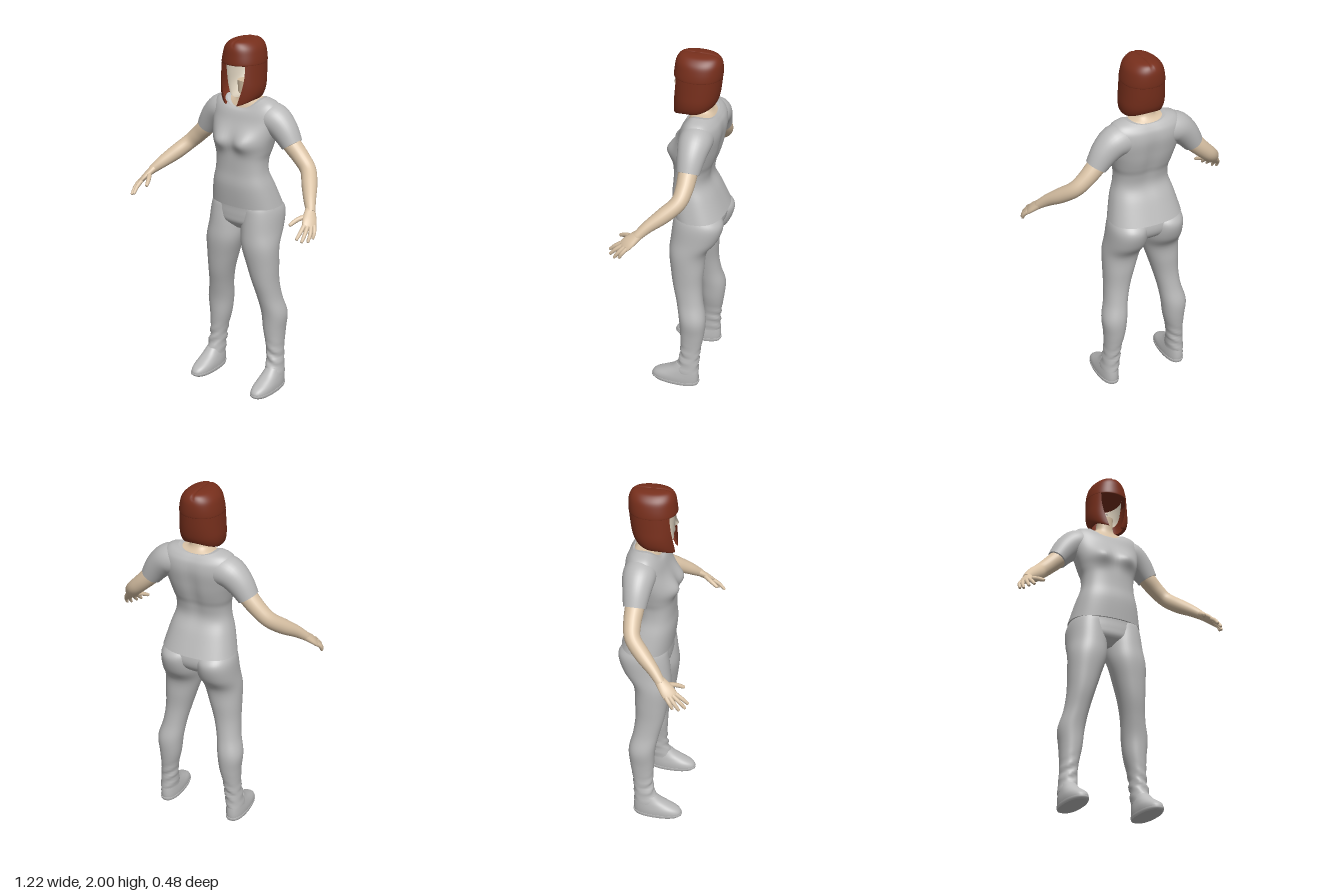
import * as THREE from 'three';

const material = (name, color, side = THREE.FrontSide) => {
  const m = new THREE.MeshStandardMaterial({ color, side });
  m.name = name;
  return m;
};

// Catmull-Rom resampling of every column of a row table
function refine(rows, steps) {
  const out = [], n = rows.length;
  for (let i = 0; i < n - 1; i++) {
    const [a, b, c, d] = [rows[Math.max(i - 1, 0)], rows[i], rows[i + 1], rows[Math.min(i + 2, n - 1)]];
    for (let s = 0; s < steps; s++) {
      const t = s / steps;
      out.push(b.map((_, k) => b[k] + 0.5 * t * (c[k] - a[k] +
        t * (2 * a[k] - 5 * b[k] + 4 * c[k] - d[k] + t * (3 * (b[k] - c[k]) + d[k] - a[k])))));
    }
  }
  out.push(rows[n - 1]);
  return out;
}

// Skin a list of rings, closing them around and capping both ends if asked
function skin(rings, closed = true, caps = true) {
  const pos = [], idx = [], n = rings[0].length;
  rings.forEach(r => r.forEach(p => pos.push(p.x, p.y, p.z)));
  for (let i = 0; i < rings.length - 1; i++)
    for (let j = 0; j < (closed ? n : n - 1); j++) {
      const k = (j + 1) % n, a = i * n, b = a + n;
      idx.push(a + j, a + k, b + j, a + k, b + k, b + j);
    }
  if (caps) [rings[0], rings[rings.length - 1]].forEach((r, end) => {
    const base = pos.length / 3, c = new THREE.Vector3();
    r.forEach(p => { pos.push(p.x, p.y, p.z); c.addScaledVector(p, 1 / n); });
    pos.push(c.x, c.y, c.z);
    for (let j = 0; j < n; j++) {
      const k = (j + 1) % n;
      idx.push(base + n, base + (end ? j : k), base + (end ? k : j));
    }
  });
  const g = new THREE.BufferGeometry();
  g.setAttribute('position', new THREE.Float32BufferAttribute(pos, 3));
  g.setIndex(idx);
  g.computeVertexNormals();
  return g;
}

// Upright form; rows run downwards: [y, centre x, half width, z front, z back, front dip, back dip, front gap]
function loft(table, { seg = 48, steps = 5, e = 1, open = false, caps = true, warp } = {}) {
  const full = table.map(r => [...r, 0, 0, 0].slice(0, 8));
  const rings = refine(full, steps).map(([y, cx, rx, zf, zb, df, db, gap]) => {
    const ring = [], cz = (zf + zb) / 2, rz = (zf - zb) / 2;
    const g = open ? Math.asin(Math.min(1, Math.max(0, gap / rx) ** (1 / e))) : 0;
    for (let j = 0; j < (open ? seg + 1 : seg); j++) {
      const a = Math.PI / 2 + g + (2 * Math.PI - 2 * g) * j / seg, c = Math.cos(a), s = Math.sin(a);
      const p = new THREE.Vector3(cx + rx * Math.sign(c) * Math.abs(c) ** e,
        y - (s > 0 ? df : db) * s * s, cz + rz * Math.sign(s) * Math.abs(s) ** e);
      if (warp) warp(p);
      ring.push(p);
    }
    return ring;
  });
  return skin(rings, !open, caps && !open);
}

// Limb along a path: [x, y, z, radius along "wide", radius across]
function limb(table, wide, seg = 24, steps = 5) {
  const rows = refine(table, steps);
  const at = i => new THREE.Vector3(...rows[Math.min(Math.max(i, 0), rows.length - 1)].slice(0, 3));
  return skin(rows.map((r, i) => {
    const t = at(i + 1).sub(at(i - 1)).normalize();
    const u = wide.clone().addScaledVector(t, -wide.dot(t)).normalize();
    const v = t.clone().cross(u), ring = [];
    for (let j = 0; j < seg; j++) {
      const a = 2 * Math.PI * j / seg;
      ring.push(at(i).addScaledVector(u, r[3] * Math.cos(a)).addScaledVector(v, r[4] * Math.sin(a)));
    }
    return ring;
  }));
}

function mirrored(geometry) {
  const g = geometry.clone().scale(-1, 1, 1), ix = g.index.array;
  for (let i = 0; i < ix.length; i += 3) [ix[i], ix[i + 1]] = [ix[i + 1], ix[i]];
  g.computeVertexNormals();
  return g;
}

const bell = (d, w) => Math.exp(-(d / w) * (d / w));

export function createModel() {
  const model = new THREE.Group();
  const cloth = material('grey cloth', 0xb9b9b9);
  const skinTone = material('skin', 0xd9c2a5);
  const faceTone = material('pale face', 0xd6cbb8);
  const hairTone = material('auburn hair', 0x772f1c, THREE.DoubleSide);
  const white = material('eye white', 0xe4e0da);
  const dark = material('dark brown', 0x3a1a14);
  const lipTone = material('lips', 0xb58a7c);
  const add = (name, g, m) => {
    const mesh = new THREE.Mesh(g, m);
    mesh.name = name;
    model.add(mesh);
    return mesh;
  };
  const pair = (name, g, m) => { add('left ' + name, g, m); add('right ' + name, mirrored(g), m); };

  // Shirt with bust
  add('shirt', loft([
    [1.685, 0, .115, -.01, -.165, .06, .02], [1.668, 0, .17, 0, -.18, .05, .02],
    [1.63, 0, .2, .01, -.195, .03, .01], [1.57, 0, .203, .025, -.2, .01, 0],
    [1.5, 0, .19, .05, -.19], [1.45, 0, .177, .062, -.18], [1.4, 0, .164, .058, -.165],
    [1.35, 0, .152, .058, -.148], [1.28, 0, .155, .058, -.142], [1.2, 0, .178, .063, -.18],
    [1.085, 0, .205, .05, -.23]], {
    seg: 72, e: .82, warp: p => {
      if (p.z > -.06) p.z += .032 * bell(Math.abs(p.x) - .075, .055) * bell(p.y - 1.458, .055);
      else p.z += .012 * bell(p.x, .035) * bell(p.y - 1.45, .15); // spine hollow
    }
  }), cloth);
  pair('sleeve', limb([[.11, 1.582, -.1, .085, .085], [.175, 1.575, -.1, .087, .084],
    [.235, 1.525, -.1, .074, .074], [.285, 1.455, -.1, .06, .058]], new THREE.Vector3(0, 0, 1), 36), cloth);

  // Trousers
  add('trouser seat', loft([
    [1.15, 0, .185, .05, -.185], [1.085, 0, .198, .042, -.212], [1.03, 0, .206, .042, -.215],
    [.985, 0, .17, .035, -.19], [.94, 0, .05, -.01, -.13]], { e: .85 }), cloth);
  pair('trouser leg', loft([
    [1.13, .1, .07, 0, -.16], [1.09, .1, .095, .03, -.207], [1.04, .106, .104, .04, -.236],
    [.95, .109, .108, .05, -.21], [.86, .12, .105, .056, -.15], [.75, .137, .088, .043, -.14],
    [.65, .152, .073, .027, -.136], [.55, .169, .066, .002, -.147], [.45, .188, .071, -.018, -.169],
    [.35, .19, .061, -.025, -.163], [.25, .199, .048, -.03, -.147], [.17, .206, .047, -.026, -.138],
    [.085, .213, .05, .005, -.138]], {
    e: .93, warp: p => { // gathered cloth over the ankle
      const k = .006 * bell(p.y - .17, .08) * Math.sin(p.y * 110 + p.x * 60);
      p.z += k; p.x += k * .5;
    }
  }), cloth);

  // Shoes
  pair('shoe', loft([
    [.13, .213, .038, -.01, -.125], [.1, .213, .046, .025, -.134], [.075, .213, .051, .07, -.138],
    [.05, .213, .055, .118, -.14], [.03, .213, .056, .137, -.14], [.012, .213, .055, .138, -.138]],
  { e: .85 }), cloth);
  pair('sole', loft([[.02, .213, .058, .142, -.143], [.01, .213, .058, .142, -.143],
    [0, .213, .055, .13, -.138]], { e: .85, steps: 2 }), cloth);

  // Arms and hands
  pair('arm', limb([[.24, 1.505, -.1, .046, .046], [.285, 1.455, -.1, .05, .05],
    [.345, 1.395, -.1, .046, .046], [.4, 1.342, -.085, .042, .043], [.45, 1.287, -.025, .041, .042],
    [.497, 1.237, .04, .032, .034], [.53, 1.2, .08, .026, .025], [.538, 1.19, .09, .026, .022]],
  new THREE.Vector3(0, 0, 1)), skinTone);
  const across = new THREE.Vector3(-.04, .01, .06);
  pair('palm', limb([[.525, 1.207, .073, .024, .022], [.54, 1.183, .1, .033, .02],
    [.557, 1.158, .128, .039, .017], [.569, 1.136, .15, .037, .012], [.571, 1.131, .154, .026, .006]],
  across), skinTone);
  const fingers = {
    'index finger': [[.55, 1.145, .165], [.552, 1.118, .203], [.549, 1.09, .232]],
    'middle finger': [[.563, 1.14, .155], [.573, 1.11, .194], [.574, 1.079, .222]],
    'ring finger': [[.575, 1.138, .142], [.591, 1.107, .172], [.593, 1.075, .194]],
    'little finger': [[.584, 1.138, .126], [.6, 1.113, .148], [.602, 1.086, .163]],
    'thumb': [[.54, 1.18, .108], [.505, 1.165, .155], [.484, 1.142, .197]],
  };
  for (const [name, [a, b, c]] of Object.entries(fingers)) {
    const r = name === 'thumb' ? .0125 : .0105;
    const tip = c.map((v, i) => v + (c[i] - b[i]) * .12);
    pair(name, limb([[...a, r * 1.1, r * 1.1], [...b, r, r], [...c, r * .75, r * .75],
      [...tip, r * .25, r * .25]], new THREE.Vector3(-.6, 0, .8), 12, 4), skinTone);
  }

  // Neck and upper chest inside the neckline
  add('neck', loft([
    [1.77, 0, .046, -.03, -.12], [1.71, 0, .048, -.035, -.132], [1.685, 0, .062, -.033, -.142, .015, 0],
    [1.677, 0, .111, -.015, -.161, .055, .018], [1.645, 0, .125, -.012, -.168, .045, .01]], { e: .9 }), skinTone);

  // Head with modelled nose, lips and eye sockets
  const head = add('head', loft([
    [1.695, 0, .012, .022, -.02], [1.702, 0, .03, .033, -.05], [1.72, 0, .045, .041, -.08],
    [1.755, 0, .061, .046, -.125], [1.8, 0, .071, .05, -.15], [1.86, 0, .079, .052, -.163],
    [1.92, 0, .078, .046, -.16], [1.96, 0, .055, .015, -.13], [1.975, 0, .02, -.03, -.08]], {
    seg: 120, steps: 8, e: .93, warp: p => {
      if (p.z < 0) return;
      const x = Math.abs(p.x);
      p.z += .021 * bell(x, .011) * bell(p.y - 1.812, p.y > 1.812 ? .028 : .009)
        + .006 * bell(x - .012, .009) * bell(p.y - 1.808, .008)
        + .006 * bell(x, .02) * bell(p.y - 1.77, .012)
        + .004 * bell(x, .02) * bell(p.y - 1.725, .015)
        - .008 * bell(x - .033, .016) * bell(p.y - 1.85, .013);
    }
  }), faceTone);

  // Flat facial details draped on the head
  const ray = new THREE.Raycaster();
  head.updateMatrixWorld();
  const drape = (x, y, w, h, lift, tilt = 0) => {
    const g = new THREE.RingGeometry(.01, 1, 20, 3).scale(w, h, 1).rotateZ(tilt).translate(x, y, 0);
    const p = g.attributes.position;
    for (let i = 0; i < p.count; i++) {
      ray.set(new THREE.Vector3(p.getX(i), p.getY(i), 1), new THREE.Vector3(0, 0, -1));
      const hit = ray.intersectObject(head)[0];
      p.setZ(i, (hit ? hit.point.z : .03) + lift);
    }
    g.computeVertexNormals();
    return g;
  };
  for (const s of [-1, 1]) {
    const side = s > 0 ? 'left ' : 'right ';
    add(side + 'eye rim', drape(s * .033, 1.852, .0155, .0068, .0012, s * .1), dark);
    add(side + 'eye white', drape(s * .033, 1.8505, .0125, .0042, .002, s * .1), white);
    add(side + 'iris', drape(s * .033, 1.851, .0045, .0042, .0028), dark);
    add(side + 'eyebrow', drape(s * .035, 1.871, .02, .0028, .0015, s * .12), hairTone);
  }
  add('upper lip', drape(0, 1.7735, .0195, .0038, .0012), lipTone);
  add('lower lip', drape(0, 1.7665, .0165, .0045, .0012), lipTone);

  // Bobbed hair: crown with fringe, then side and back curtain open at the face
  add('hair crown', loft([
    [2, 0, .012, -.04, -.075], [1.998, 0, .038, .005, -.125], [1.988, 0, .068, .036, -.165],
    [1.96, 0, .095, .054, -.184], [1.92, 0, .108, .061, -.189], [1.878, 0, .114, .065, -.187],
    [1.874, 0, .107, .057, -.18]], { seg: 64, e: .93, warp: p => { p.y -= .004 * bell(p.x, .005) * (p.y > 1.97 ? 1 : 0); } }), hairTone);
  add('hair curtain', loft([
    [1.885, 0, .113, .064, -.187, 0, 0, .076], [1.81, 0, .117, .066, -.179, 0, 0, .074],
    [1.755, 0, .119, .066, -.17, .008, -.005, .064], [1.715, 0, .113, .066, -.16, .025, -.018, .048],
    [1.69, 0, .1, .064, -.15, .035, -.03, .035], [1.695, 0, .085, .052, -.135, .03, -.03, .034]],
  { seg: 64, e: .93, open: true }), hairTone);

  return model;
}
